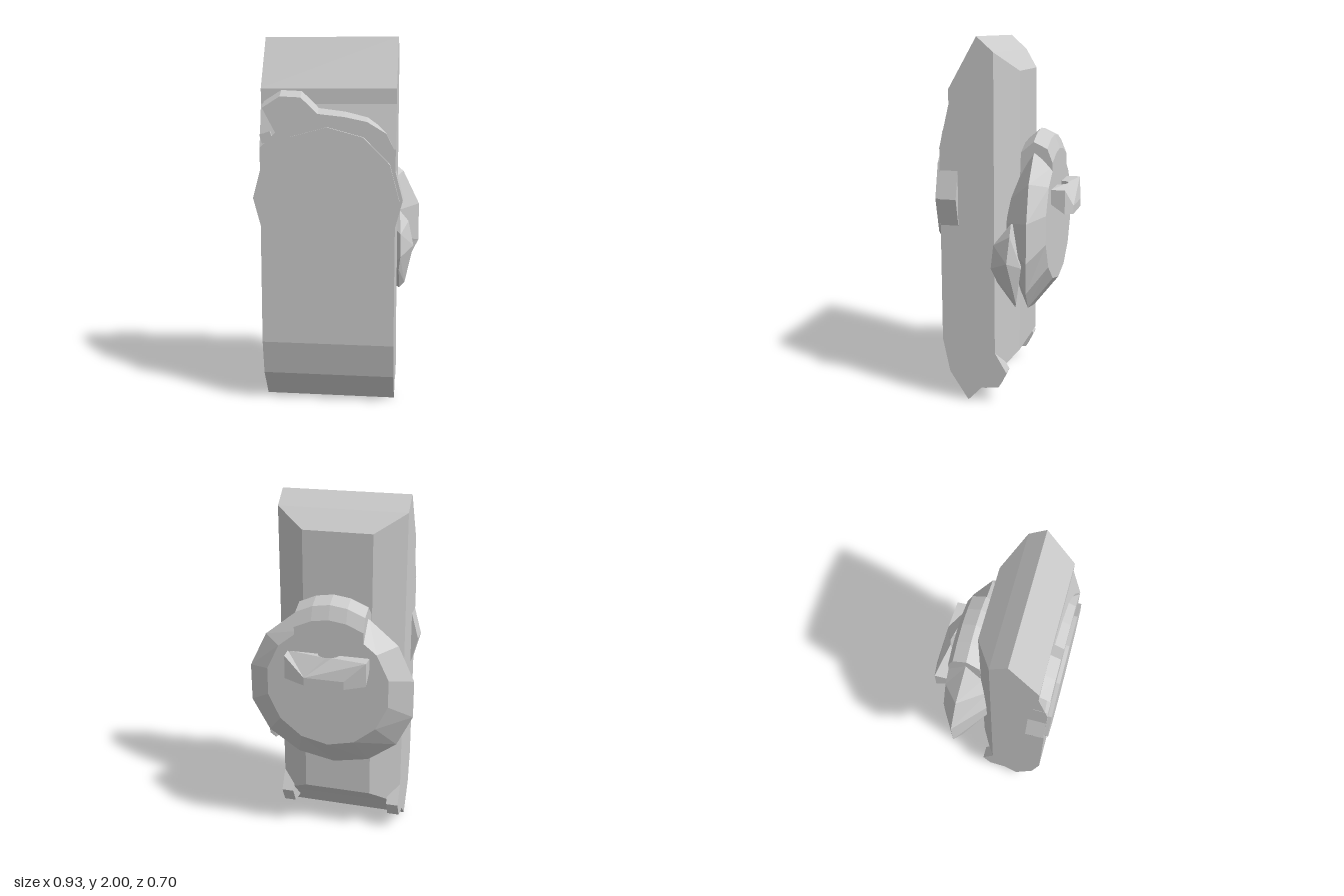
import * as THREE from 'three';
import { ConvexGeometry } from 'three/addons/geometries/ConvexGeometry.js';

const material = new THREE.MeshStandardMaterial({ color: 0xcccccc, flatShading: true });
const CX = -0.01; // the case sits slightly off centre

function add(group, name, geometry) {
  geometry.computeVertexNormals();
  const mesh = new THREE.Mesh(geometry, material);
  mesh.name = name;
  group.add(mesh);
  return mesh;
}

// Outline given as [a, b] pairs, extruded along its normal
function extrude(points, depth, steps = 1) {
  const shape = new THREE.Shape(points.map(([a, b]) => new THREE.Vector2(a, b)));
  return new THREE.ExtrudeGeometry(shape, { depth, steps, bevelEnabled: false });
}

// Side profile of [z, y] pairs, extruded across x and centred on the case
function across(points, width, steps = 1) {
  return extrude(points, width, steps).rotateY(-Math.PI / 2).translate(CX + width / 2, 0, 0);
}

// Move every vertex by a rule
function reshape(geometry, rule) {
  const pos = geometry.attributes.position;
  const v = new THREE.Vector3();
  for (let i = 0; i < pos.count; i++) {
    rule(v.fromBufferAttribute(pos, i));
    pos.setXYZ(i, v.x, v.y, v.z);
  }
  return geometry;
}

export function createModel() {
  const model = new THREE.Group();
  model.name = 'strapDevice';

  // Front slab of the case
  add(model, 'caseFront', across([
    [0.185, 0], [0.29, 0.16], [0.33, 0.35], [0.33, 1.42], [0.275, 1.65],
    [0.275, 1.73], [0.12, 2], [0.03, 1.92], [0.03, 0.16],
  ], 0.72));

  // Back slab, tapering to a narrower rear face
  const back = across([[0.03, 0.16], [0.03, 1.92], [-0.07, 1.82], [-0.07, 0.26]], 0.72);
  add(model, 'caseBack', reshape(back, (v) => {
    if (v.z < -0.05) v.x = CX + Math.sign(v.x - CX) * 0.195;
  }));

  // Small feet on the lower back corners
  for (const side of [-1, 1]) {
    const foot = across([
      [0.12, 0.08], [0.09, 0.08], [0.01, 0.09], [-0.035, 0.18], [0.03, 0.29], [0.1, 0.26],
    ], 0.07);
    add(model, 'foot', foot.translate(side * 0.325, 0, 0));
  }

  // Raised front plate with its sloped upper edge
  const plate = extrude([
    [-0.37, 1.3], [0.35, 1.3], [0.35, 1.4], [0.3, 1.5], [0.2, 1.56], [0.08, 1.585], [-0.06, 1.6],
    [-0.15, 1.685], [-0.26, 1.69], [-0.355, 1.63], [-0.285, 1.5], [-0.37, 1.42],
  ], 0.07).translate(0, 0, 0.26);
  add(model, 'frontPlate', reshape(plate, (v) => {
    if (v.z < 0.3 && v.y > 1.55) v.y += 0.04;
  }));
  add(model, 'sidePeg', new THREE.BoxGeometry(0.06, 0.05, 0.08).rotateZ(0.3).translate(-0.335, 1.475, 0.29));

  // Twelve-sided front disc in two steps
  const disc = (name, radius, z0, z1) => add(model, name,
    new THREE.CylinderGeometry(radius, radius, z1 - z0, 12).rotateX(Math.PI / 2)
      .translate(CX, 1.15, (z0 + z1) / 2));
  disc('discRim', 0.4, 0.23, 0.329);
  disc('discFace', 0.382, 0.32, 0.35);

  // Faceted dial on the back, with a wavy widest edge
  const dialProfile = [[0, -0.25], [0.35, -0.25], [0.478, -0.145], [0.29, -0.02], [0, -0.02]];
  const dial = new THREE.LatheGeometry(dialProfile.map(([r, h]) => new THREE.Vector2(r, h)), 14)
    .rotateX(Math.PI / 2);
  add(model, 'dial', reshape(dial, (v) => {
    const r = Math.hypot(v.x, v.y);
    if (r > 0.4) v.z = -0.175 + (v.y > 0 ? 0.03 : 0.065) * (v.y / r) ** 2;
    if (v.z < -0.24) v.y += 0.05;
    v.y += 0.95;
  }));

  // Curved hood over the top of the dial
  const hood = across([
    [-0.07, 1.3], [-0.075, 1.44], [-0.145, 1.5], [-0.22, 1.465], [-0.25, 1.39], [-0.25, 1.3],
  ], 0.385, 4);
  add(model, 'dialHood', reshape(hood, (v) => { v.y -= 1.5 * (v.x - CX) ** 2; }));

  // Grip on the dial: an arched bar with a half-round opening
  const grip = [[-0.235, 0.245], [-0.235, 0.325], [-0.12, 0.352], [0.1, 0.352], [0.215, 0.325], [0.22, 0.245]];
  for (let i = 0; i <= 6; i++) {
    const a = (i / 6) * Math.PI;
    grip.push([CX + 0.06 * Math.cos(a), 0.245 + 0.055 * Math.sin(a)]);
  }
  const gripGeometry = extrude(grip, 1).rotateX(-Math.PI / 2);
  add(model, 'dialGrip', reshape(gripGeometry, (v) => {
    const out = (-v.z - 0.245) / 0.1;
    const top = v.z < -0.34 ? 1.09 : 1.195;
    v.y = v.y > 0.5 ? top : 1.12 - 0.07 * out;
  }));

  // Irregular side knob
  add(model, 'sideKnob', new ConvexGeometry([
    [0.25, 0.65, -0.05], [0.36, 0.57, -0.09], [0.39, 0.6, -0.1], [0.44, 0.83, -0.06],
    [0.41, 0.97, -0.07], [0.36, 1.03, -0.065], [0.37, 0.91, 0.03], [0.37, 0.78, 0.045],
    [0.36, 0.7, 0.01], [0.25, 1, -0.1], [0.4, 0.8, -0.13],
  ].map((p) => new THREE.Vector3(...p))));

  return model;
}
